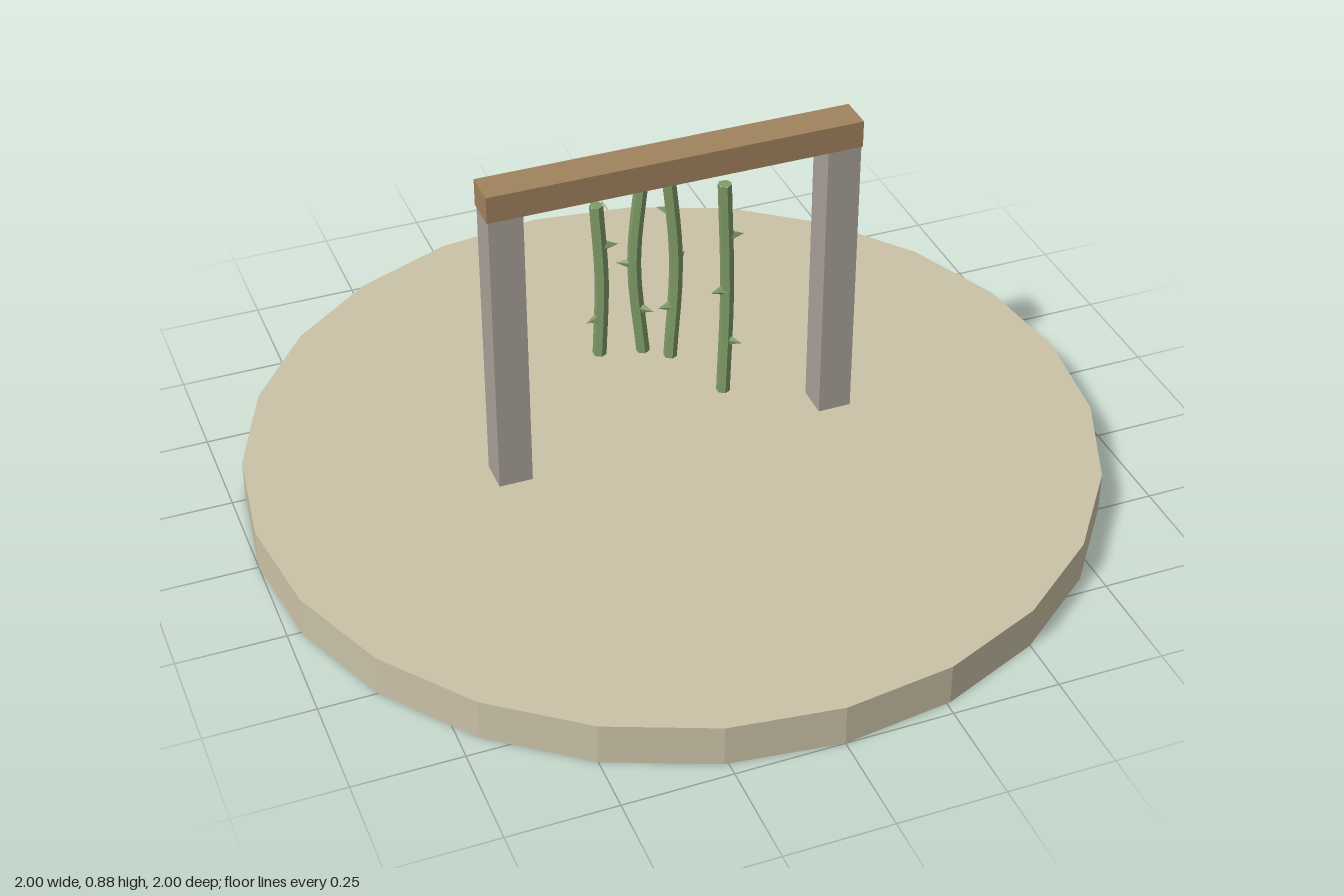
import * as THREE from 'three';

export function createModel() {
  const group = new THREE.Group();
  const material = (name, color, flat = true) => {
    const m = new THREE.MeshStandardMaterial({ color, flatShading: flat });
    m.name = name;
    return m;
  };
  const sand = material('sand', 0xcac1a6);
  const stone = material('stone', 0xa8a098);
  const wood = material('wood', 0xa0835f);
  const green = material('vineGreen', 0x7f9a66);

  const add = (parent, name, geometry, mat, x = 0, y = 0, z = 0) => {
    const mesh = new THREE.Mesh(geometry, mat);
    mesh.name = name;
    mesh.position.set(x, y, z);
    parent.add(mesh);
    return mesh;
  };

  // Round ground slab
  add(group, 'base', new THREE.CylinderGeometry(1, 1, 0.1, 24), sand, 0, 0.05, 0);

  // Two posts carrying a beam
  for (const s of [-1, 1]) {
    add(group, s > 0 ? 'leftPost' : 'rightPost', new THREE.BoxGeometry(0.08, 0.745, 0.08), stone, s * 0.398, 0.4725, 0);
  }
  add(group, 'beam', new THREE.BoxGeometry(0.882, 0.065, 0.083), wood, 0, 0.8475, 0);

  // Hanging vines: path points [x, y, z] and thorns [y, dx, dz]
  const vines = [
    { path: [[-0.187, 0.795, 0.025], [-0.178, 0.6, 0.028], [-0.185, 0.4, 0.025]],
      thorns: [[0.69, 1, 0.2], [0.595, 0.2, -1], [0.5, -0.9, 0.3]] },
    { path: [[-0.043, 0.795, -0.07], [-0.062, 0.55, -0.078], [-0.045, 0.31, -0.07]],
      thorns: [[0.67, 0.5, -0.8], [0.55, -0.9, -0.4], [0.43, 0.6, 0.7]] },
    { path: [[0.018, 0.795, -0.075], [0.037, 0.54, -0.07], [0.021, 0.28, -0.067]],
      thorns: [[0.67, -0.6, -0.7], [0.54, 0.8, -0.7], [0.42, -0.9, 0.1]] },
    { path: [[0.107, 0.795, 0.045], [0.118, 0.51, 0.04], [0.108, 0.235, 0.047]],
      thorns: [[0.655, 0.9, 0.1], [0.51, -0.9, 0.1], [0.375, 0.7, 0.75]] },
  ];
  const up = new THREE.Vector3(0, 1, 0);
  const forward = new THREE.Vector3(0, 0, 1);

  vines.forEach(({ path, thorns }, i) => {
    const vine = new THREE.Group();
    vine.name = `vine${i + 1}`;
    group.add(vine);
    const curve = new THREE.CatmullRomCurve3(path.map(p => new THREE.Vector3(...p)));
    add(vine, 'stem', new THREE.TubeGeometry(curve, 8, 0.016, 6), green);

    // Closed stem ends
    for (const t of [0, 1]) {
      const p = curve.getPoint(t);
      const cap = add(vine, 'stemEnd', new THREE.CircleGeometry(0.016, 6), green, p.x, p.y, p.z);
      cap.quaternion.setFromUnitVectors(forward, curve.getTangent(t).multiplyScalar(t ? 1 : -1));
    }

    // Thorns point outward from the stem
    for (const [y, dx, dz] of thorns) {
      const t = (path[0][1] - y) / (path[0][1] - path[2][1]);
      const p = curve.getPointAt(t);
      const dir = new THREE.Vector3(dx, 0, dz).normalize();
      p.addScaledVector(dir, 0.024);
      const thorn = add(vine, 'thorn', new THREE.ConeGeometry(0.013, 0.036, 5), green, p.x, y, p.z);
      thorn.quaternion.setFromUnitVectors(up, dir);
    }
  });

  return group;
}
